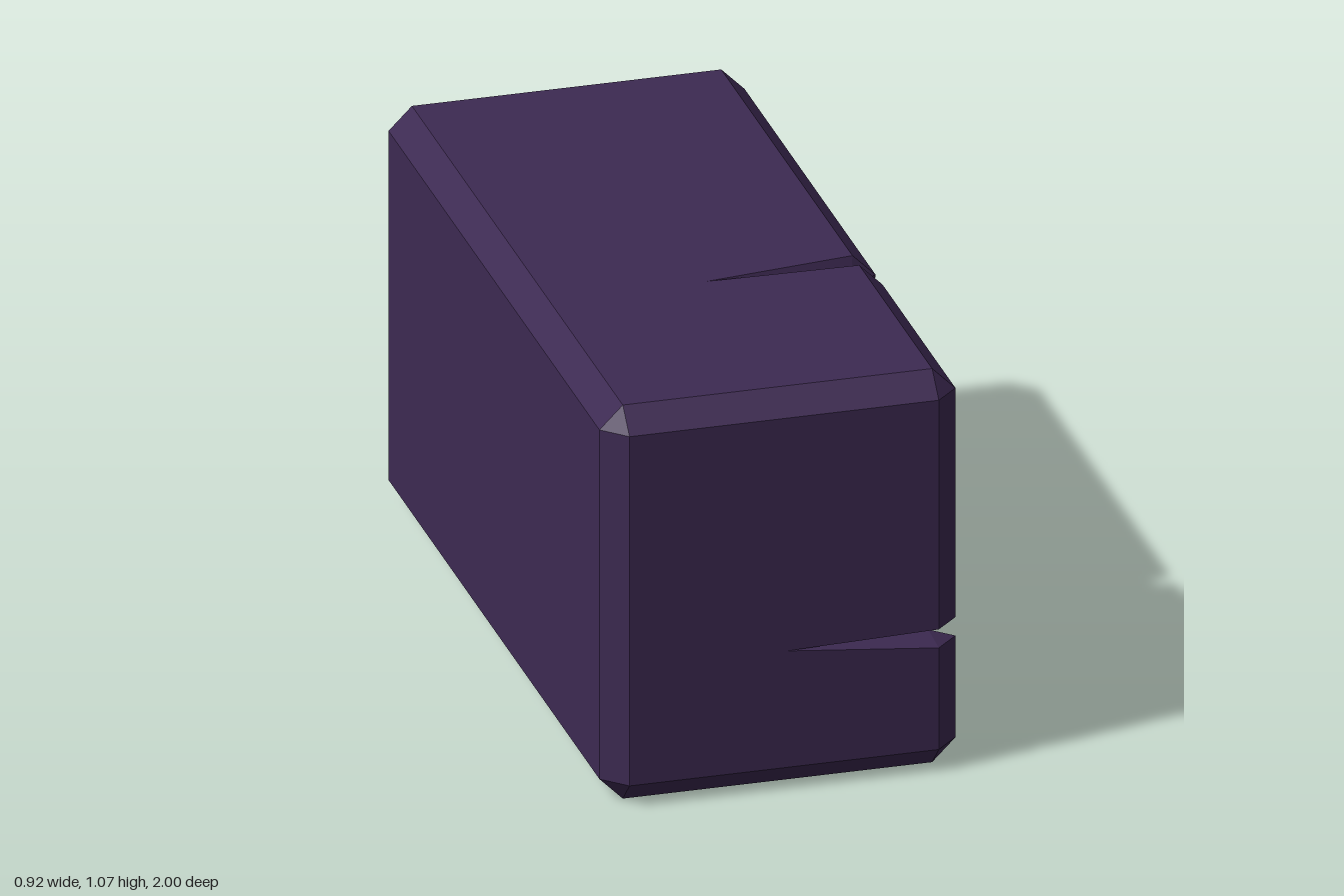
import * as THREE from 'three';

// Block limits and chamfer size
const X0 = -0.465, X1 = 0.45, H = 1.065, Z = 1, C = 0.06;
const xi = X1 - C, xo = X0 + C, yt = H - C, zi = Z - C;
const V = (x, y, z) => new THREE.Vector3(x, y, z);

// Adds a flat-shaded polygon to a triangle list, turned to face the hint direction
function poly(list, pts, hint) {
  const n = V(0, 0, 0);
  pts.forEach((p, i) => n.add(p.clone().cross(pts[(i + 1) % pts.length])));
  n.normalize();
  if (n.dot(hint) < 0) { n.negate(); pts = [...pts].reverse(); }
  const u = V(0, 1, 0).cross(n);
  if (u.length() < 0.1) u.set(1, 0, 0).cross(n);
  u.normalize();
  const v = n.clone().cross(u);
  const flat = pts.map(p => new THREE.Vector2(p.dot(u), p.dot(v)));
  for (const t of THREE.ShapeUtils.triangulateShape(flat, [])) {
    for (const i of t) list.push(...pts[i].toArray());
  }
}

export function createModel() {
  const group = new THREE.Group();
  const material = new THREE.MeshStandardMaterial({ color: 0x3d2a52, flatShading: true });
  const shell = [], plates = [], walls = [];
  const px = V(1, 0, 0);

  // Valley line of the crack network, as [z, y]
  const floorAt = {
    top: [0.25, yt], bend: [0.06, 0.70], j1: [0.07, 0.565], j2: [0.27, 0.36], j3: [0.72, 0.265],
    front: [zi, 0.36], j4: [-0.33, 0.385], rise: [-0.57, 0.545], back: [-zi, 0.555],
    mid: [0.07, 0.235], footA: [0.72, C], footB: [-0.345, C],
  };
  const floor = {};
  for (const k in floorAt) floor[k] = V(0.38, floorAt[k][1], floorAt[k][0]);

  // Plates of the cracked side: rim points [z, y], matching valley points, outer corners
  const plateData = [
    { rim: [[0.29, yt], [0.075, 0.695], [0.11, 0.565], [0.29, 0.38], [0.72, 0.28], [zi, 0.385]],
      to: ['top', 'bend', 'j1', 'j2', 'j3', 'front'], corners: [[zi, yt]] },
    { rim: [[0.23, yt], [0.04, 0.71], [0.03, 0.575], [-0.315, 0.43], [-0.57, 0.595], [-zi, 0.57]],
      to: ['top', 'bend', 'j1', 'j4', 'rise', 'back'], corners: [[-zi, yt]] },
    { rim: [[zi, 0.335], [0.75, 0.26], [0.765, C]],
      to: ['front', 'j3', 'footA'], corners: [[zi, C]] },
    { rim: [[0.66, C], [0.70, 0.25], [0.29, 0.33], [0.07, 0.21], [-0.30, 0.33], [-0.325, C]],
      to: ['footA', 'j3', 'j2', 'mid', 'j4', 'footB'], corners: [] },
    { rim: [[-0.38, C], [-0.395, 0.36], [-0.57, 0.51], [-zi, 0.54]],
      to: ['footB', 'j4', 'rise', 'back'], corners: [[-zi, C]] },
    // loose central chip, slightly sunken
    { rim: [[0.07, 0.54], [-0.27, 0.365], [0.07, 0.25], [0.20, 0.38]],
      to: ['j1', 'j4', 'mid', 'j2'], corners: [], closed: true, x: 0.435 },
  ];
  for (const d of plateData) {
    const n = d.rim.length;
    const rim = d.rim.map(([z, y], i) => {
      const onBorder = !d.closed && (i === 0 || i === n - 1);
      return V(d.x ?? (onBorder ? X1 : X1 + 0.008), y, z);
    });
    poly(plates, [...rim, ...d.corners.map(([z, y]) => V(X1, y, z))], px);
    for (let i = 0; i < (d.closed ? n : n - 1); i++) {
      const j = (i + 1) % n, a = floor[d.to[i]], b = floor[d.to[j]];
      poly(walls, [rim[i], rim[j], b], px);
      poly(walls, [rim[i], b, a], px);
    }
  }

  // Faces around the cracked side: chamfer strip, notched face and tapering crack ends.
  // s: rim positions along the edge, corner to corner; cracks: [valley point, tip position]
  const sides = [
    { normal: V(0, 0, 1), s: [C, 0.335, 0.385, yt], cracks: [['front', 0.375]],
      inner: s => V(X1, s, zi), outer: (x, s) => V(x, s, Z) },
    { normal: V(0, 0, -1), s: [C, 0.54, 0.57, yt], cracks: [['back', 0.55]],
      inner: s => V(X1, s, -zi), outer: (x, s) => V(x, s, -Z) },
    { normal: V(0, 1, 0), s: [-zi, 0.23, 0.29, zi], cracks: [['top', 0.28]],
      inner: s => V(X1, yt, s), outer: (x, s) => V(x, H, s) },
    { normal: V(0, -1, 0), s: [-zi, -0.38, -0.325, 0.66, 0.765, zi],
      cracks: [['footB', -0.35], ['footA', 0.72]],
      inner: s => V(X1, C, s), outer: (x, s) => V(x, 0, s) },
  ];
  for (const { normal, s, cracks, inner, outer } of sides) {
    const outline = [outer(xo, s[0])];
    s.forEach((t, i) => {
      outline.push(outer(xi, t));
      if (i % 2 === 0) {
        poly(shell, [inner(t), inner(s[i + 1]), outer(xi, s[i + 1]), outer(xi, t)], normal.clone().add(px));
      } else if (i < s.length - 1) {
        const [name, tipAt] = cracks[(i - 1) / 2], tip = outer(0, tipAt);
        outline.push(tip);
        for (const [a, b] of [[t, s[i + 1]], [s[i + 1], t]]) {
          const across = inner(b).sub(inner(a));
          poly(walls, [inner(a), outer(xi, a), floor[name]], across);
          poly(walls, [outer(xi, a), tip, floor[name]], across);
        }
      }
    });
    outline.push(outer(xo, s[s.length - 1]));
    poly(shell, outline, normal);
  }

  // Plain side with its four chamfers
  poly(shell, [V(X0, C, -zi), V(X0, C, zi), V(X0, yt, zi), V(X0, yt, -zi)], V(-1, 0, 0));
  for (const k of [-1, 1]) {
    const y = k > 0 ? yt : C, ye = k > 0 ? H : 0;
    poly(shell, [V(X0, C, k * zi), V(X0, yt, k * zi), V(xo, yt, k * Z), V(xo, C, k * Z)], V(-1, 0, k));
    poly(shell, [V(X0, y, -zi), V(X0, y, zi), V(xo, ye, zi), V(xo, ye, -zi)], V(-1, k, 0));
    // Chamfers running across the ends, and the corner triangles
    for (const m of [-1, 1]) {
      poly(shell, [V(xo, ye, m * zi), V(xi, ye, m * zi), V(xi, y, m * Z), V(xo, y, m * Z)], V(0, k, m));
      for (const [xe, x, sx] of [[X0, xo, -1], [X1, xi, 1]]) {
        poly(shell, [V(xe, y, m * zi), V(x, ye, m * zi), V(x, y, m * Z)], V(sx, k, m));
      }
    }
  }

  for (const [name, list] of [['blockShell', shell], ['crackedPlates', plates], ['crackWalls', walls]]) {
    const geometry = new THREE.BufferGeometry();
    geometry.setAttribute('position', new THREE.Float32BufferAttribute(list, 3));
    geometry.computeVertexNormals();
    const mesh = new THREE.Mesh(geometry, material);
    mesh.name = name;
    group.add(mesh);
  }
  group.name = 'crackedStoneBlock';
  return group;
}
